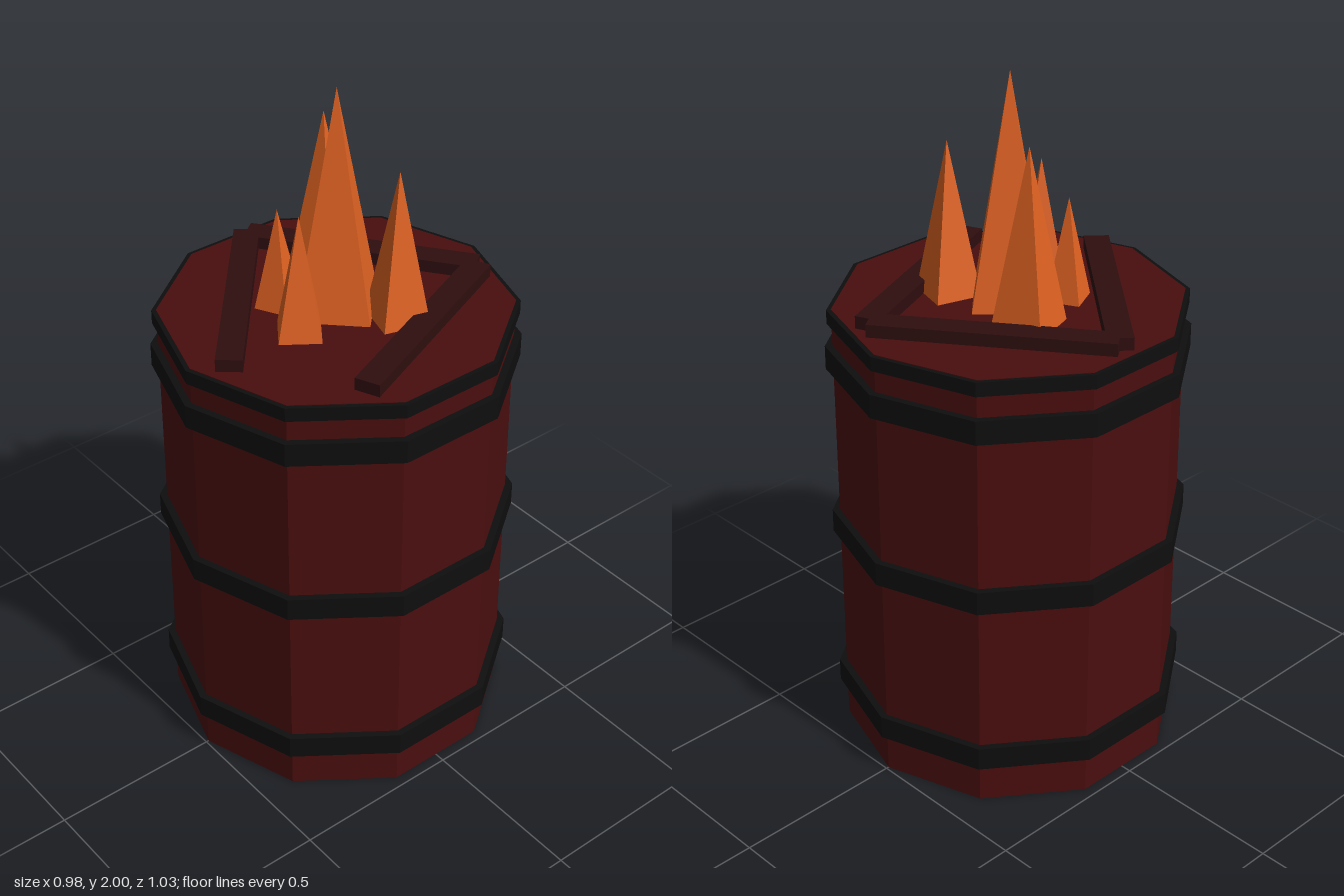
import * as THREE from 'three';

const material = (name, color) => {
  const m = new THREE.MeshStandardMaterial({ color, flatShading: true });
  m.name = name;
  return m;
};

export function createModel() {
  const group = new THREE.Group();
  const redWood = material('dark red wood', 0x4a0e0e);
  const iron = material('black iron', 0x0e0e0e);
  const charred = material('charred wood', 0x2f0e0f);
  const fire = material('orange flame', 0xdf6222);

  const add = (name, geometry, mat, x, y, z, turn = 0) => {
    const mesh = new THREE.Mesh(geometry, mat);
    mesh.name = name;
    mesh.position.set(x, y, z);
    mesh.rotation.y = turn;
    group.add(mesh);
  };

  // Ten-sided prism spanning two heights
  const prism = (name, radius, y0, y1, mat) =>
    add(name, new THREE.CylinderGeometry(radius, radius, y1 - y0, 10), mat, 0, (y0 + y1) / 2, 0);

  // Barrel with its hoops and rim
  prism('barrel', 0.492, 0, 1.345, redWood);
  prism('lowerHoop', 0.513, 0.12, 0.19, iron);
  prism('middleHoop', 0.513, 0.642, 0.712, iron);
  prism('upperHoop', 0.513, 1.165, 1.235, iron);
  prism('rim', 0.505, 1.302, 1.343, iron);

  // Planks lying on the lid: centre x, centre z, direction x, direction z
  [
    [-0.158, -0.215, 200, -146],
    [0.248, -0.104, 95, 226],
    [-0.176, 0.203, 187, 161],
  ].forEach(([x, z, dx, dz], i) =>
    add(`plank${i + 1}`, new THREE.BoxGeometry(0.67, 0.06, 0.073), charred, x, 1.352, z, Math.atan2(-dz, dx)));

  // Four-sided flames: x, z, tip height, radius, turn
  const base = 1.34;
  [
    [0, 0, 2, 0.145, 0],
    [-0.15, -0.076, 1.85, 0.108, 1.1],
    [0.15, -0.09, 1.79, 0.096, 0.5],
    [0.045, 0.163, 1.7, 0.084, 0.16],
    [-0.104, 0.12, 1.64, 0.07, -0.33],
  ].forEach(([x, z, tip, radius, turn], i) =>
    add(`flame${i + 1}`, new THREE.ConeGeometry(radius, tip - base, 4), fire, x, (tip + base) / 2, z, turn));

  return group;
}
